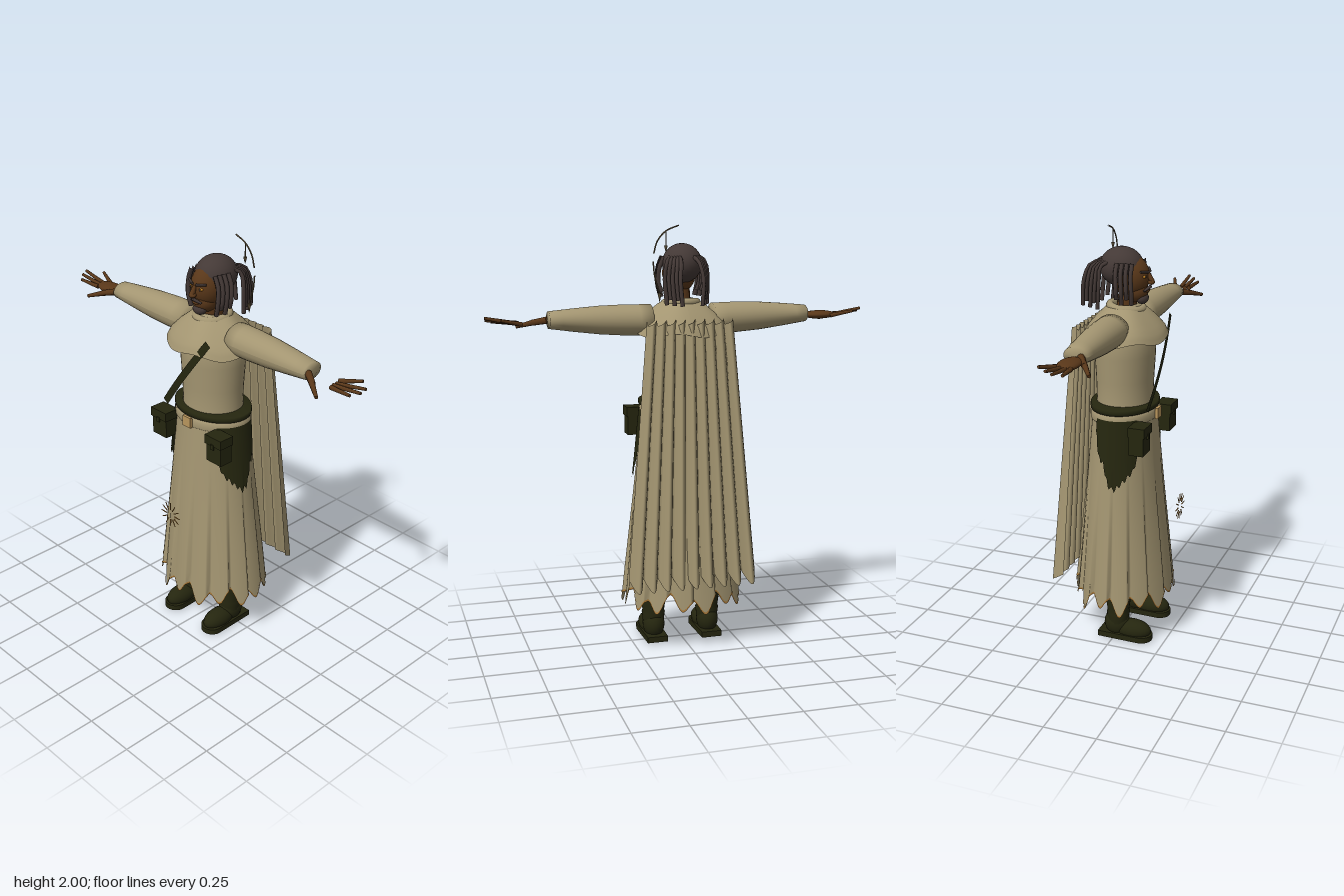
import * as THREE from 'three';

const mat = (name, color, side = THREE.FrontSide) => {
  const m = new THREE.MeshStandardMaterial({ color, side });
  m.name = name;
  return m;
};
const V = (x, y, z) => new THREE.Vector3(x, y, z);
const { lerp, smoothstep } = THREE.MathUtils;

// Grid surface from a rule f(u, v) -> [x, y, z]
function surf(f, nu, nv) {
  const pos = [], idx = [];
  for (let j = 0; j <= nv; j++) for (let i = 0; i <= nu; i++) pos.push(...f(i / nu, j / nv));
  for (let j = 0; j < nv; j++) for (let i = 0; i < nu; i++) {
    const a = j * (nu + 1) + i, b = a + nu + 1;
    idx.push(a, b, a + 1, a + 1, b, b + 1);
  }
  const g = new THREE.BufferGeometry();
  g.setAttribute('position', new THREE.Float32BufferAttribute(pos, 3));
  g.setIndex(idx);
  g.computeVertexNormals();
  return g;
}

// Sample a list of numbers at t in 0..1
function sample(list, t) {
  const k = Math.min(t * (list.length - 1), list.length - 1.0001), i = Math.floor(k);
  return lerp(list[i], list[i + 1], k - i);
}

export function createModel() {
  const model = new THREE.Group();
  const cloth = mat('robe cloth', 0xa39571, THREE.DoubleSide);
  const leather = mat('dark leather', 0x25260f, THREE.DoubleSide);
  const hair = mat('hair', 0x443936);
  const skin = mat('skin', 0x593719);
  const gold = mat('buckle gold', 0xb8955c);
  const trim = mat('hem trim', 0xa87838, THREE.DoubleSide);
  const eye = mat('eye amber', 0xb87a20);
  const mark = mat('floating mark', 0x5e5138);

  const add = (name, geo, m, x = 0, y = 0, z = 0, parent = model) => {
    const o = new THREE.Mesh(geo, m);
    o.name = name;
    o.position.set(x, y, z);
    parent.add(o);
    return o;
  };
  const ball = (name, m, x, y, z, rx, ry, rz) => {
    const o = add(name, new THREE.SphereGeometry(1, 24, 16), m, x, y, z);
    o.scale.set(rx, ry, rz);
    return o;
  };
  const tube = (name, pts, r, m, seg = 8) =>
    add(name, new THREE.TubeGeometry(new THREE.CatmullRomCurve3(pts), seg, r, 6), m);
  // Tapered rod with closed ends
  const rod = (name, a, b, r0, r1, m) => {
    const o = add(name, new THREE.CylinderGeometry(r1, r0, a.distanceTo(b), 8), m);
    o.position.copy(a).lerp(b, 0.5);
    o.quaternion.setFromUnitVectors(V(0, 1, 0), b.clone().sub(a).normalize());
    return o;
  };
  // Elliptical body of revolution
  const lathe = (name, pts, m, depth) => {
    const o = add(name, new THREE.LatheGeometry(pts.map(p => new THREE.Vector2(...p)), 40), m);
    o.scale.z = depth;
    return o;
  };

  // Skirt with pleats and ragged hem; angle 0 is the front
  const hem = a => 0.225 + 0.035 * Math.cos(a * 15 + Math.PI) + 0.02 * Math.sin(a * 7 + 1);
  const skirtPoint = (a, y, out = 0) => {
    const t = (1.16 - y) / 0.96;
    const saw = ((a * 15 / (2 * Math.PI) + 100.5) % 1) - 0.5;
    const fold = saw * 0.022 * smoothstep(t, 0.15, 1);
    const rx = 0.188 + 0.098 * t + fold + out, rz = 0.145 + 0.087 * t + fold + out;
    return [rx * Math.sin(a), y, rz * Math.cos(a)];
  };
  const turn = u => (u - 0.5) * 2 * Math.PI;
  add('skirt', surf((u, v) => skirtPoint(turn(u), lerp(1.16, hem(turn(u)), v)), 180, 14), cloth);
  add('hemTrim', surf((u, v) => skirtPoint(turn(u), hem(turn(u)) + 0.01 * (1 - v), 0.003), 180, 1), trim);

  // Torso, shoulder mantle and collar
  lathe('torso', [[0.165, 1.12], [0.152, 1.2], [0.155, 1.3], [0.163, 1.42], [0.165, 1.5], [0.14, 1.57], [0.05, 1.62]], cloth, 0.86);
  add('mantle', surf((u, v) => {
    const a = turn(u), r = sample([0.075, 0.115, 0.165, 0.215, 0.235], v);
    const y = sample([1.655, 1.63, 1.59, 1.54, 1.5], v) + 0.01 * v * Math.sin(a * 5);
    return [r * Math.sin(a) * 0.98, y, r * Math.cos(a) * 0.84];
  }, 60, 8), cloth);
  const collar = add('collar', new THREE.TorusGeometry(0.075, 0.02, 10, 32), cloth, 0, 1.635, 0.005);
  collar.rotation.x = Math.PI / 2 + 0.12;

  // Pleated cape hanging from the shoulders
  const pleats = 9;
  add('cape', surf((u, v) => {
    const s = u * 2 - 1, wave = Math.abs(Math.sin(Math.PI * pleats * u));
    const step = ((u * pleats) % 1) * 0.03;
    const y = lerp(1.575 - step, 0.32 + 0.05 * (1 - wave), v);
    return [s * lerp(0.205, 0.31, v), y, -lerp(0.155, 0.2, v) - wave * lerp(0.035, 0.072, v)];
  }, 108, 10), cloth);

  // Belts, buckle and diagonal strap
  lathe('belt', [[0.19, 1.16], [0.205, 1.165], [0.207, 1.178], [0.205, 1.19], [0.15, 1.195]], leather, 0.76);
  lathe('lowerBelt', [[0.197, 1.115], [0.202, 1.12], [0.202, 1.15], [0.19, 1.16]], cloth, 0.78);
  add('buckle', new THREE.BoxGeometry(0.052, 0.052, 0.014), gold, 0, 1.14, 0.165);
  add('strap', surf((u, v) => {
    const c = Math.sin(v * Math.PI) * 0.014, w = (u - 0.5) * 0.036;
    return [lerp(0.145, -0.15, v) + w * 0.8, lerp(1.58, 1.19, v) - w * 0.6, lerp(0.17, 0.165, v) + c];
  }, 2, 12), leather);

  // Sleeves, mirrored
  for (const s of [1, -1]) {
    add('sleeve', surf((u, v) => {
      const a = u * 2 * Math.PI * s, k = Math.min(Math.max((v - 0.1) / 0.8, 0), 1);
      const size = v < 0.05 || v > 0.95 ? 0 : 1;
      return [s * lerp(0.15, 0.625, k),
        lerp(1.56, 1.57, k) + size * sample([0.073, 0.072, 0.066, 0.054, 0.04], k) * Math.sin(a),
        lerp(-0.005, 0.018, k) + size * sample([0.082, 0.08, 0.074, 0.065, 0.056], k) * Math.cos(a)];
    }, 28, 10), cloth);
    // Fingers as [inner x, inner z, outer x, outer z, outer y]
    for (const [x0, z0, x1, z1, y1] of [[0.75, -0.012, 0.85, -0.048, 1.58],
      [0.76, 0.015, 0.915, 0.012, 1.587], [0.76, 0.036, 0.91, 0.038, 1.575], [0.765, 0.056, 0.88, 0.07, 1.565]])
      rod('finger', V(s * x0, 1.557, z0), V(s * x1, y1, z1), 0.011, 0.007, skin);
    rod('thumb', V(s * 0.625, 1.568, 0.042), V(s * 0.69, 1.553, 0.085), 0.017, 0.014, skin);
    rod('thumbTip', V(s * 0.68, 1.556, 0.08), V(s * 0.755, 1.532, 0.132), 0.014, 0.008, skin);
  }
  ball('palm', skin, -0.705, 1.56, 0.025, 0.085, 0.02, 0.048);

  for (const s of [1, -1]) {
    // Boots with soles
    const boot = new THREE.Group();
    boot.name = 'boot';
    boot.position.x = s * 0.137;
    model.add(boot);
    const sole = new THREE.Shape().absellipse(0, 0.135, 0.055, 0.055, 0, Math.PI);
    sole.lineTo(-0.05, -0.075);
    sole.lineTo(0.05, -0.075);
    const soleGeo = new THREE.ExtrudeGeometry(sole, { depth: 0.028, bevelEnabled: false, curveSegments: 16 });
    soleGeo.rotateX(Math.PI / 2);
    add('sole', soleGeo, leather, 0, 0.028, 0, boot);
    add('foot', new THREE.SphereGeometry(1, 20, 12), leather, 0, 0.045, 0.09, boot).scale.set(0.052, 0.05, 0.095);
    add('heel', new THREE.SphereGeometry(1, 20, 12), leather, 0, 0.07, 0.01, boot).scale.set(0.053, 0.07, 0.065);
    const shaft = [[0.05, 0.05], [0.053, 0.1], [0.057, 0.13], [0.053, 0.14], [0.06, 0.19], [0.056, 0.2], [0.066, 0.3], [0.07, 0.5], [0.07, 0.9]];
    add('shaft', new THREE.LatheGeometry(shaft.map(p => new THREE.Vector2(...p)), 20), leather, 0, 0, 0.015, boot);

    // Ragged hip cloth and belt pouch
    const lower = [0.98, 0.9, 0.87, 0.84, 0.81, 0.83, 0.93, 0.96, 1.08];
    add('hipCloth', surf((u, v) => skirtPoint(s * lerp(0.78, 2.03, u),
      lerp(1.14, sample(lower, u) + 0.012 * Math.sin(u * 60), v), 0.014), 40, 8), leather);
    add('pouch', new THREE.BoxGeometry(0.095, 0.125, 0.07), leather, s * 0.187, 1.06, 0.14);
    add('pouchFlap', new THREE.BoxGeometry(0.105, 0.045, 0.08), leather, s * 0.187, 1.11, 0.142);
    add('pouchStud', new THREE.BoxGeometry(0.018, 0.025, 0.008), leather, s * 0.187, 1.085, 0.183);

    // Face details
    ball('eye', eye, s * 0.031, 1.787, 0.104, 0.012, 0.007, 0.008);
    ball('pupil', hair, s * 0.031, 1.787, 0.111, 0.005, 0.006, 0.003);
    rod('brow', V(s * 0.012, 1.806, 0.116), V(s * 0.055, 1.812, 0.094), 0.006, 0.005, hair);
    ball('ear', skin, s * 0.078, 1.775, 0.01, 0.01, 0.025, 0.016);
    rod('moustache', V(0, 1.737, 0.121), V(s * 0.032, 1.72, 0.102), 0.008, 0.005, hair);

    // Side locks
    for (let i = 0; i < 4; i++) {
      const z = 0.06 - i * 0.023, x = 0.083 + i * 0.004;
      tube('sideLock', [V(s * x * 0.9, 1.85, z), V(s * (x + 0.012), 1.8, z), V(s * (x + 0.015), 1.73, z + 0.004),
        V(s * x, 1.665 + (i % 2) * 0.025, z)], 0.011, hair);
    }
    // Back locks
    for (let i = 0; i < 5; i++) {
      const x = 0.09 - i * 0.012, z = -0.06 - i * 0.01, e = -0.09 - i * 0.023;
      tube('backLock', [V(s * x * 0.8, 1.85, z), V(s * x, 1.83, (z + e) / 2 - 0.012),
        V(s * (x + 0.012), 1.76, e), V(s * (x + 0.005), 1.635 + (i % 2) * 0.025, e - 0.01)], 0.01, hair);
    }
  }

  // Head
  rod('neck', V(0, 1.58, 0), V(0, 1.72, 0.015), 0.052, 0.045, skin);
  ball('face', skin, 0, 1.78, 0.025, 0.077, 0.1, 0.09);
  ball('jaw', skin, 0, 1.715, 0.045, 0.055, 0.055, 0.065);
  ball('hairCap', hair, 0, 1.82, -0.017, 0.092, 0.092, 0.104);
  rod('noseBridge', V(0, 1.8, 0.11), V(0, 1.762, 0.13), 0.009, 0.013, skin);
  ball('noseTip', skin, 0, 1.758, 0.126, 0.018, 0.012, 0.016);
  ball('lips', skin, 0, 1.718, 0.108, 0.02, 0.008, 0.01);
  ball('beard', hair, 0, 1.682, 0.082, 0.035, 0.028, 0.03);

  // Floating sunburst in front of the skirt
  for (let i = 0; i < 12; i++) {
    const a = i * Math.PI / 6, c = Math.cos(a), d = Math.sin(a);
    rod('sunRay', V(0.027 * c, 0.677 + 0.027 * d, 0.28), V(0.064 * c, 0.677 + 0.064 * d, 0.28), 0.003, 0.002, trim);
  }

  // Floating arcs with hanging points beside the head
  const z = -0.1;
  tube('arc', [V(0.04, 1.995, z), V(0.1, 1.97, z), V(0.14, 1.925, z), V(0.157, 1.87, z)], 0.0035, mark, 16);
  tube('arc', [V(0.16, 1.835, z), V(0.153, 1.77, z), V(0.13, 1.69, z)], 0.0035, mark, 16);
  rod('pendantLine', V(0.1, 1.97, z), V(0.1, 1.9, z), 0.0025, 0.0025, mark);
  rod('pendantPoint', V(0.1, 1.905, z), V(0.1, 1.875, z), 0.009, 0.001, mark);
  rod('pendantPoint', V(0.13, 1.69, z), V(0.13, 1.65, z), 0.009, 0.001, mark);

  return model;
}
